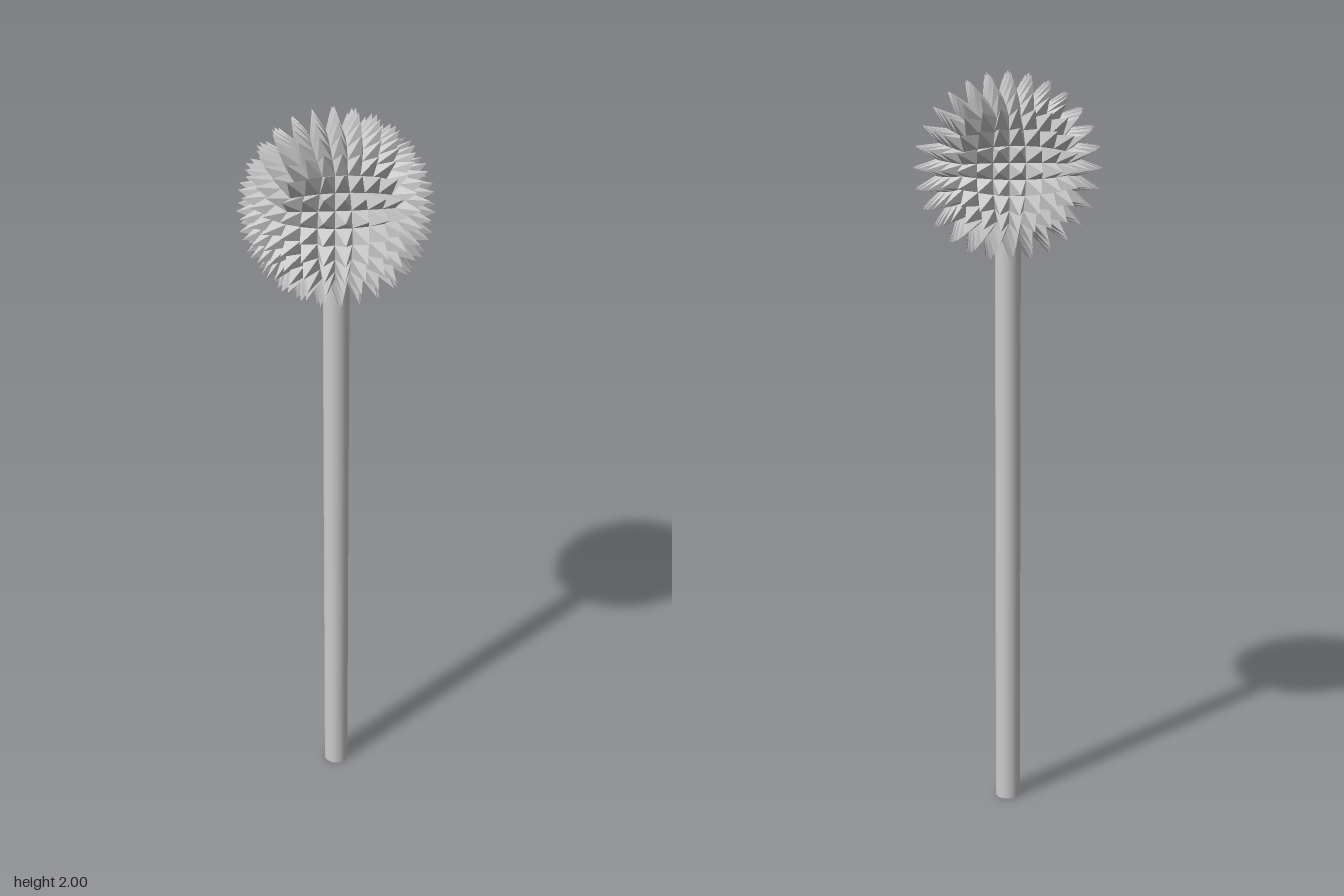
import * as THREE from 'three';

const CENTER_Y = 1.755, BASE_R = 0.187, TIP_R = 0.246, N = 7;

// One sixth of the ball: an even-angle grid bulged onto a sphere, each cell raised to a four-sided spike
function spikedPatch(n, u, v) {
  const at = (i, j, r) => {
    const a = Math.tan((i / N - 0.5) * Math.PI / 2);
    const b = Math.tan((j / N - 0.5) * Math.PI / 2);
    return n.clone().addScaledVector(u, a).addScaledVector(v, b).setLength(r);
  };
  const points = [];
  for (let i = 0; i < N; i++) {
    for (let j = 0; j < N; j++) {
      const tip = at(i + 0.5, j + 0.5, TIP_R);
      const c = [[0, 0], [1, 0], [1, 1], [0, 1]].map(([s, t]) => at(i + s, j + t, BASE_R));
      c.forEach((p, k) => points.push(p, c[(k + 1) % 4], tip));
    }
  }
  return points;
}

export function createModel() {
  const group = new THREE.Group();

  // Spiked ball
  const points = [];
  const axes = [new THREE.Vector3(1, 0, 0), new THREE.Vector3(0, 1, 0), new THREE.Vector3(0, 0, 1)];
  axes.forEach((axis, k) => {
    const u = axes[(k + 1) % 3], v = axes[(k + 2) % 3];
    points.push(...spikedPatch(axis, u, v));
    points.push(...spikedPatch(axis.clone().negate(), v, u));
  });
  const ballGeometry = new THREE.BufferGeometry().setFromPoints(points);
  ballGeometry.computeVertexNormals();
  const ball = new THREE.Mesh(ballGeometry,
    new THREE.MeshStandardMaterial({ color: 0xcccccc, flatShading: true }));
  ball.name = 'spikedBall';
  ball.position.y = CENTER_Y;
  group.add(ball);

  // Handle, sunk into the ball
  const length = 1.62;
  const handle = new THREE.Mesh(new THREE.CylinderGeometry(0.034, 0.034, length, 32),
    new THREE.MeshStandardMaterial({ color: 0xcccccc }));
  handle.name = 'handle';
  handle.position.y = length / 2;
  group.add(handle);

  return group;
}
